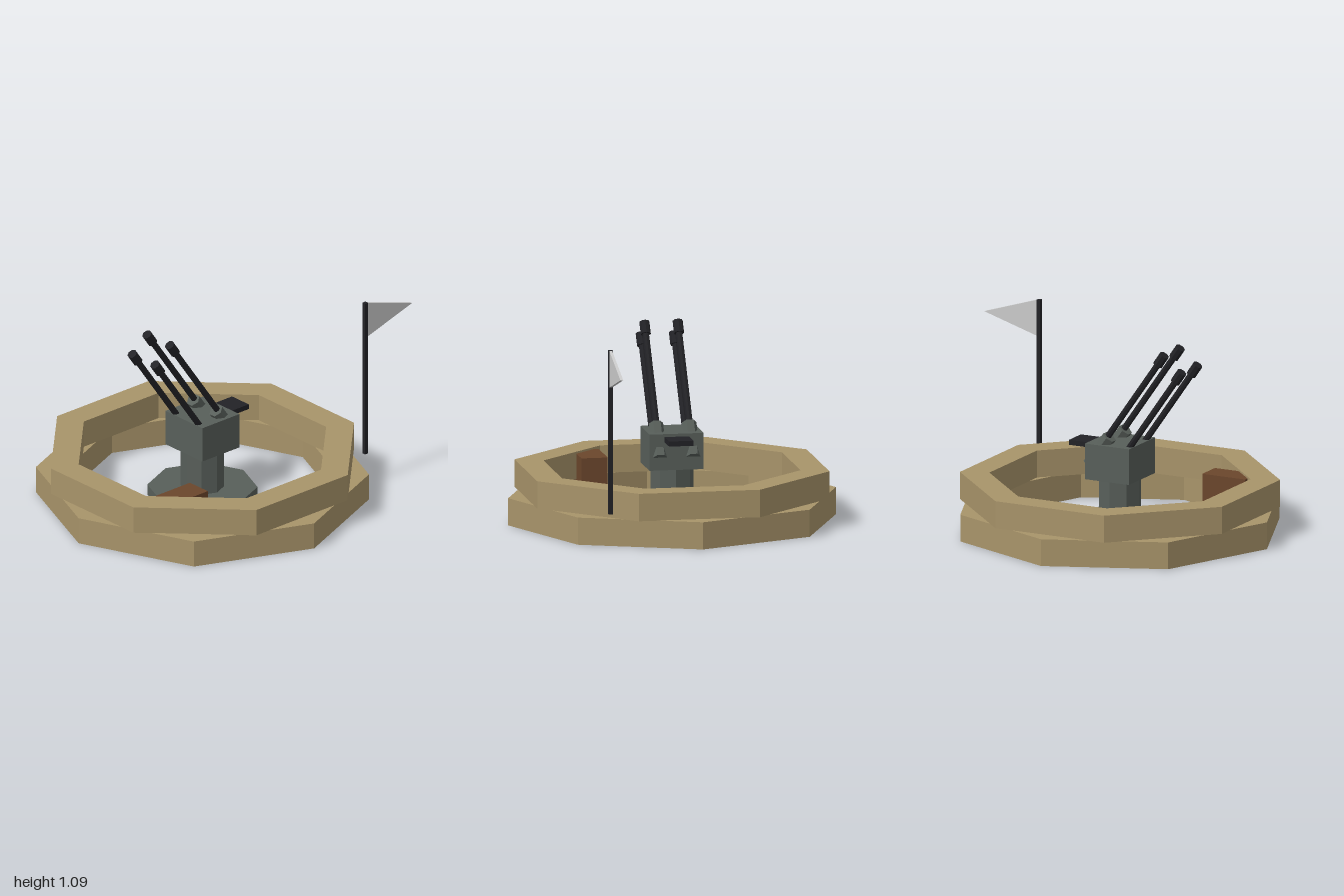
import * as THREE from 'three';

const paint = (color) => new THREE.MeshStandardMaterial({ color, flatShading: true });
const wood = paint(0xa8946a);
const steel = paint(0x585f5a);
const black = paint(0x222226);
const brown = paint(0x6b462c);
const cloth = paint(0xcccccc);

const CX = -0.093; // centre of the emplacement

function add(parent, name, geometry, material, x = 0, y = 0, z = 0) {
  const mesh = new THREE.Mesh(geometry, material);
  mesh.name = name;
  mesh.position.set(x, y, z);
  parent.add(mesh);
  return mesh;
}

function octagon(radius, turn) {
  return Array.from({ length: 8 }, (_, i) => {
    const a = turn + (i * Math.PI) / 4;
    return new THREE.Vector2(radius * Math.cos(a), radius * Math.sin(a));
  });
}

// Flat eight-sided wall ring with a matching hole
function ringGeometry(outer, inner, height, turn) {
  const shape = new THREE.Shape(octagon(outer, turn));
  shape.holes.push(new THREE.Path(octagon(inner, turn)));
  return new THREE.ExtrudeGeometry(shape, { depth: height, bevelEnabled: false }).rotateX(-Math.PI / 2);
}

// Cylinder between two points [x, y] in the plane at depth z
function rod(parent, name, from, to, z, radius, sides, material) {
  const a = new THREE.Vector3(...from, z);
  const b = new THREE.Vector3(...to, z);
  const mesh = add(parent, name, new THREE.CylinderGeometry(radius, radius, a.distanceTo(b), sides), material);
  mesh.position.copy(a).add(b).multiplyScalar(0.5);
  mesh.rotation.z = Math.atan2(b.y - a.y, b.x - a.x) - Math.PI / 2;
}

export function createModel() {
  const model = new THREE.Group();
  model.name = 'gunEmplacement';

  // Two stacked wall rings, turned half a side against each other
  add(model, 'lowerWall', ringGeometry(0.907, 0.735, 0.15, 0), wood, CX, 0, 0);
  add(model, 'upperWall', ringGeometry(0.875, 0.714, 0.152, Math.PI / 8), wood, CX, 0.149, 0);

  // Crate pushed against the wall
  add(model, 'crate', new THREE.BoxGeometry(0.265, 0.29, 0.145), brown, -0.578, 0.145, 0.362);

  // Gun mount
  const gun = new THREE.Group();
  gun.name = 'gunMount';
  model.add(gun);
  add(gun, 'basePlate', new THREE.CylinderGeometry(0.3, 0.3, 0.06, 8), steel, CX, 0.03, 0);
  add(gun, 'pedestal', new THREE.CylinderGeometry(0.118, 0.118, 0.26, 8), steel, CX, 0.18, 0);
  add(gun, 'gunHousing', new THREE.BoxGeometry(0.272, 0.2, 0.3), steel, CX, 0.4, 0);
  add(gun, 'seat', new THREE.BoxGeometry(0.136, 0.028, 0.136), black, 0.117, 0.471, 0);

  // Two pairs of raised barrels, with a receiver behind each upper one
  for (const z of [-0.092, 0.092]) {
    rod(gun, 'receiver', [0.043, 0.371], [-0.078, 0.539], z, 0.04, 6, steel);
    rod(gun, 'upperBarrel', [-0.03, 0.486], [-0.385, 0.993], z, 0.018, 8, black);
    rod(gun, 'upperMuzzle', [-0.375, 0.979], [-0.417, 1.039], z, 0.028, 8, black);
    rod(gun, 'lowerBarrel', [-0.15, 0.42], [-0.493, 0.91], z, 0.018, 8, black);
    rod(gun, 'lowerMuzzle', [-0.483, 0.896], [-0.525, 0.956], z, 0.028, 8, black);
  }

  // Pennant on its pole
  add(model, 'flagPole', new THREE.BoxGeometry(0.022, 0.905, 0.022), black, 0.664, 0.6375, 0.483);
  const pennant = new THREE.Shape([
    new THREE.Vector2(0.67, 0.885),
    new THREE.Vector2(1, 0.985),
    new THREE.Vector2(0.67, 1.09),
  ]);
  add(model, 'pennant', new THREE.ExtrudeGeometry(pennant, { depth: 0.016, bevelEnabled: false }), cloth, 0, 0, 0.475);

  return model;
}
